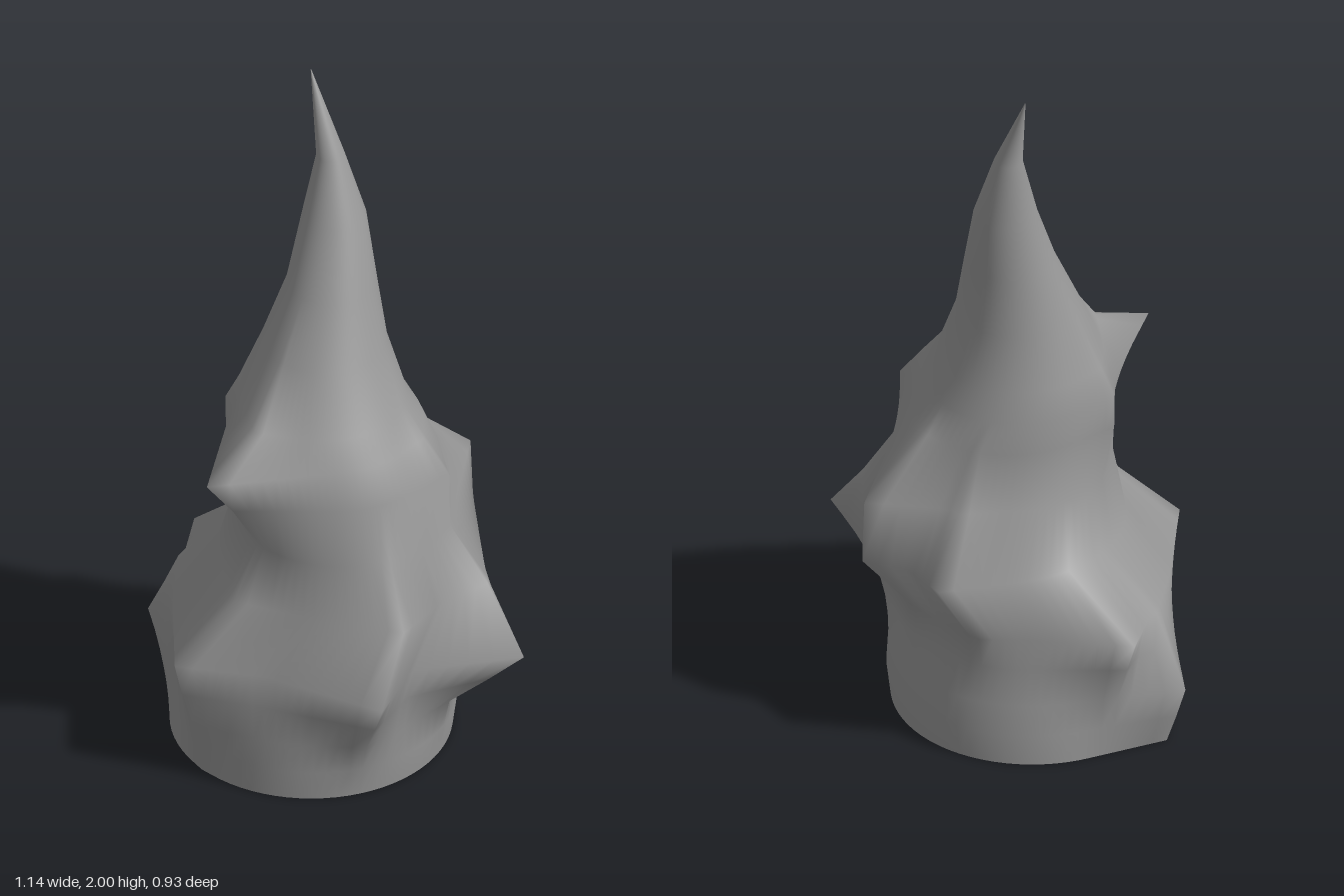
import * as THREE from 'three';

// Core of the cone: height, centre x, centre z, radius
const RINGS = [
  [0, -0.065, 0.005, 0.382], [0.09, -0.058, 0.005, 0.387], [0.18, -0.055, 0.01, 0.382],
  [0.29, -0.055, 0.015, 0.378], [0.39, -0.06, 0.01, 0.375], [0.56, 0.02, -0.05, 0.355],
  [0.73, 0.025, -0.01, 0.3], [0.9, 0.01, 0, 0.28], [1.0, -0.02, 0, 0.26],
  [1.08, -0.03, 0, 0.225], [1.24, -0.045, -0.03, 0.17], [1.41, -0.042, -0.065, 0.123],
  [1.59, -0.065, -0.118, 0.087], [1.77, -0.083, -0.13, 0.039], [2, -0.163, -0.163, 0.001],
];

// Pointed folds: peak x, y, z, then reach up and reach down
const FOLDS = [
  [0.565, 0.39, -0.07, 0.22, 0.23],
  [0.37, 0.39, 0.36, 0.3, 0.26],
  [-0.22, 0.39, 0.465, 0.3, 0.4],
  [-0.53, 0.39, -0.14, 0.17, 0.3],
  [-0.57, 0.18, 0, 0.3, 0.35],
  [-0.1, 0.56, -0.46, 0.3, 0.25],
  [0.16, 0.73, -0.437, 0.17, 0.35],
  [0.33, 0.9, -0.05, 0.17, 0.2],
  [-0.14, 1.0, 0.44, 0.1, 0.24],
  [-0.31, 0.93, 0.06, 0.25, 0.2],
];
const SEGMENTS = 72;

// Core centre and radius at any height
function coreAt(y) {
  let i = 0;
  while (i < RINGS.length - 2 && RINGS[i + 1][0] < y) i++;
  const t = (y - RINGS[i][0]) / (RINGS[i + 1][0] - RINGS[i][0]);
  return [1, 2, 3].map((k) => THREE.MathUtils.lerp(RINGS[i][k], RINGS[i + 1][k], t));
}

const SPIKES = FOLDS.map(([x, y, z, up, down]) => {
  const [cx, cz, r] = coreAt(y);
  const step = (Math.PI * 2) / SEGMENTS;
  const angle = Math.round(Math.atan2(-(z - cz), x - cx) / step) * step;
  return { y, angle, up, down, push: Math.hypot(x - cx, z - cz) - r };
});

// Radius with folds: each peak meets the round core along straight tangents
function foldedRadius(angle, y, core) {
  let radius = core;
  for (const s of SPIKES) {
    const along = Math.max(0, 1 - Math.abs(y - s.y) / (y > s.y ? s.up : s.down));
    const reach = Math.acos(core / (core + s.push * along));
    const turn = Math.abs(Math.atan2(Math.sin(angle - s.angle), Math.cos(angle - s.angle)));
    if (turn < reach) radius = Math.max(radius, core / Math.cos(reach - turn));
  }
  return radius;
}

// Skin lofted through the rings
function loft(radiusAt) {
  const positions = [];
  const indices = [];
  RINGS.forEach(([y, cx, cz, r], i) => {
    for (let j = 0; j < SEGMENTS; j++) {
      const a = (j / SEGMENTS) * Math.PI * 2;
      const radius = radiusAt(a, y, r);
      positions.push(cx + Math.cos(a) * radius, y, cz - Math.sin(a) * radius);
      if (i === RINGS.length - 1) continue;
      const k = i * SEGMENTS + j;
      const n = i * SEGMENTS + ((j + 1) % SEGMENTS);
      indices.push(k, n, n + SEGMENTS, k, n + SEGMENTS, k + SEGMENTS);
    }
  });
  const geometry = new THREE.BufferGeometry();
  geometry.setAttribute('position', new THREE.Float32BufferAttribute(positions, 3));
  geometry.setIndex(indices);
  geometry.computeVertexNormals();
  return geometry;
}

export function createModel() {
  const group = new THREE.Group();
  group.name = 'twistedCone';
  const grey = new THREE.MeshStandardMaterial({ color: 0x999999, side: THREE.DoubleSide });
  grey.name = 'grey';

  // Folded outer skin, open at the base
  const outer = new THREE.Mesh(loft(foldedRadius), grey);
  outer.name = 'outerShell';

  // Narrower hollow cone inside
  const inner = new THREE.Mesh(loft((angle, y, core) => core * 0.68), grey);
  inner.name = 'innerShell';

  group.add(outer, inner);
  return group;
}
